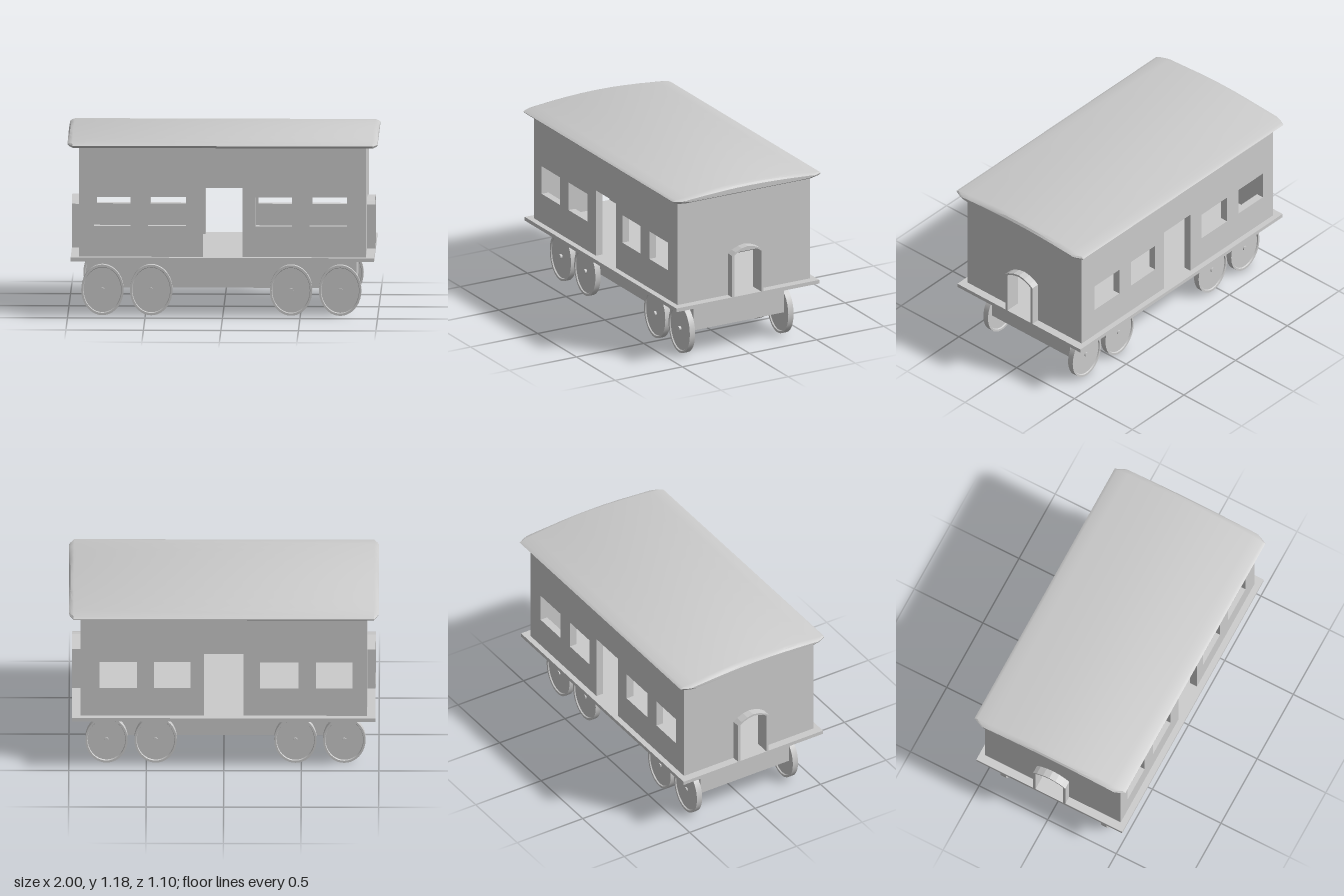
import * as THREE from 'three';
import { toCreasedNormals } from 'three/addons/utils/BufferGeometryUtils.js';

const material = new THREE.MeshStandardMaterial({ color: 0xcccccc });
const WALL = 0.05, FLOOR = 0.4, EAVES = 1.115;

function add(parent, name, geometry, x = 0, y = 0, z = 0) {
  const mesh = new THREE.Mesh(geometry, material);
  mesh.name = name;
  mesh.position.set(x, y, z);
  parent.add(mesh);
  return mesh;
}

const polygon = (points) => new THREE.Shape(points.map(([x, y]) => new THREE.Vector2(x, y)));
const extrude = (shape, depth) => new THREE.ExtrudeGeometry(shape, { depth, bevelEnabled: false });

// Wall with a doorway cut up from the floor and rectangular windows
function wallShape(x0, x1, doorX0, doorX1, doorTop, windows = []) {
  const shape = polygon([
    [x0, FLOOR], [doorX0, FLOOR], [doorX0, doorTop], [doorX1, doorTop],
    [doorX1, FLOOR], [x1, FLOOR], [x1, EAVES], [x0, EAVES],
  ]);
  for (const [a, b] of windows) {
    shape.holes.push(polygon([[a, 0.6], [a, 0.79], [b, 0.79], [b, 0.6]]));
  }
  return shape;
}

// Arched roof, lofted along x with rounded-off ends
function roofGeometry() {
  const half = [[0.55, 1.132], [0.53, 1.142], [0.45, 1.151], [0.35, 1.162], [0.24, 1.171], [0.12, 1.178]];
  const profile = [
    ...half.map(([z, y]) => [-z, y]), [0, 1.18], ...[...half].reverse(),
    [0.538, 1.12], [0.5, 1.111], [-0.5, 1.111], [-0.538, 1.12],
  ];
  const middle = 1.135;
  const stations = [
    [-1, 0.87, 0.5], [-0.99, 0.92, 0.8], [-0.968, 1, 1],
    [0.968, 1, 1], [0.99, 0.92, 0.8], [1, 0.87, 0.5],
  ];
  const rings = stations.map(([x, sz, sy]) =>
    profile.map(([z, y]) => [x, middle + (y - middle) * sy, z * sz]));
  const out = [];
  const tri = (a, b, c) => out.push(...a, ...b, ...c);
  const n = profile.length, last = rings.length - 1;
  for (let j = 0; j < n; j++) {
    const k = (j + 1) % n;
    for (let i = 0; i < last; i++) {
      tri(rings[i][j], rings[i][k], rings[i + 1][k]);
      tri(rings[i][j], rings[i + 1][k], rings[i + 1][j]);
    }
    tri([1, middle, 0], rings[last][j], rings[last][k]);
    tri([-1, middle, 0], rings[0][k], rings[0][j]);
  }
  const geometry = new THREE.BufferGeometry();
  geometry.setAttribute('position', new THREE.Float32BufferAttribute(out, 3));
  return toCreasedNormals(geometry, 0.5);
}

// Oval wheel disc with a raised rim on both faces
function wheelGeometry() {
  const profile = [[0, -0.012], [0.146, -0.012], [0.15, -0.02], [0.165, -0.02],
    [0.165, 0.02], [0.15, 0.02], [0.146, 0.012], [0, 0.012]];
  const lathe = new THREE.LatheGeometry(profile.map(([r, y]) => new THREE.Vector2(r, y)), 40);
  lathe.rotateX(Math.PI / 2).scale(0.83, 1, 1);
  return toCreasedNormals(lathe, 0.5);
}

// End wall with its doorway, sloping lintel and arched porch
function createEnd(name) {
  const end = new THREE.Group();
  end.name = name;
  const wall = extrude(wallShape(-0.445, 0.445, -0.1, 0.1, 0.68), WALL).rotateY(Math.PI / 2);
  add(end, 'endWall', wall, 0.925 - WALL);

  const lintel = extrude(polygon([[0.875, 0.655], [0.925, 0.68], [0.875, 0.68]]), 0.2);
  add(end, 'doorLintel', lintel, 0, 0, -0.1);

  const outer = [[-0.117, 0.4], [-0.117, 0.685], [-0.09, 0.705], [-0.045, 0.724], [0, 0.732],
    [0.045, 0.724], [0.09, 0.705], [0.117, 0.685], [0.117, 0.4]];
  const inner = [[0.1, 0.4], [0.1, 0.682], [0.075, 0.7], [0.035, 0.713], [0, 0.719],
    [-0.035, 0.713], [-0.075, 0.7], [-0.1, 0.682], [-0.1, 0.4]];
  const porch = extrude(polygon([...outer, ...inner]), 0.054).rotateY(Math.PI / 2);
  add(end, 'doorPorch', porch, 0.925);
  return end;
}

export function createModel() {
  const model = new THREE.Group();
  model.name = 'railwayCarriage';

  // Underframe and floor
  add(model, 'underframe', new THREE.BoxGeometry(1.738, 0.202, 0.675), -0.008, 0.276, 0);
  add(model, 'floor', new THREE.BoxGeometry(1.958, 0.025, 1.064), 0, 0.3875, 0);

  // Side walls
  const windows = [[-0.829, -0.594], [-0.482, -0.235], [0.214, 0.449], [0.561, 0.802]];
  const side = extrude(wallShape(-0.925, 0.925, -0.127, 0.129, 0.85, windows), WALL);
  add(model, 'frontWall', side, 0, 0, 0.443);
  add(model, 'backWall', side, 0, 0, -0.495);

  // End walls
  const leftEnd = createEnd('leftEnd');
  const rightEnd = createEnd('rightEnd');
  rightEnd.rotation.y = Math.PI;
  model.add(leftEnd, rightEnd);

  add(model, 'roof', roofGeometry());

  // Wheels and axles
  const wheel = wheelGeometry();
  const axle = new THREE.CylinderGeometry(0.015, 0.015, 0.78, 16).rotateX(Math.PI / 2);
  for (const x of [-0.777, -0.462, 0.44, 0.757]) {
    const wheelset = new THREE.Group();
    wheelset.name = 'wheelset';
    wheelset.position.set(x, 0.165, 0);
    add(wheelset, 'axle', axle);
    add(wheelset, 'frontWheel', wheel, 0, 0, 0.363);
    add(wheelset, 'backWheel', wheel, 0, 0, -0.37);
    model.add(wheelset);
  }
  return model;
}
